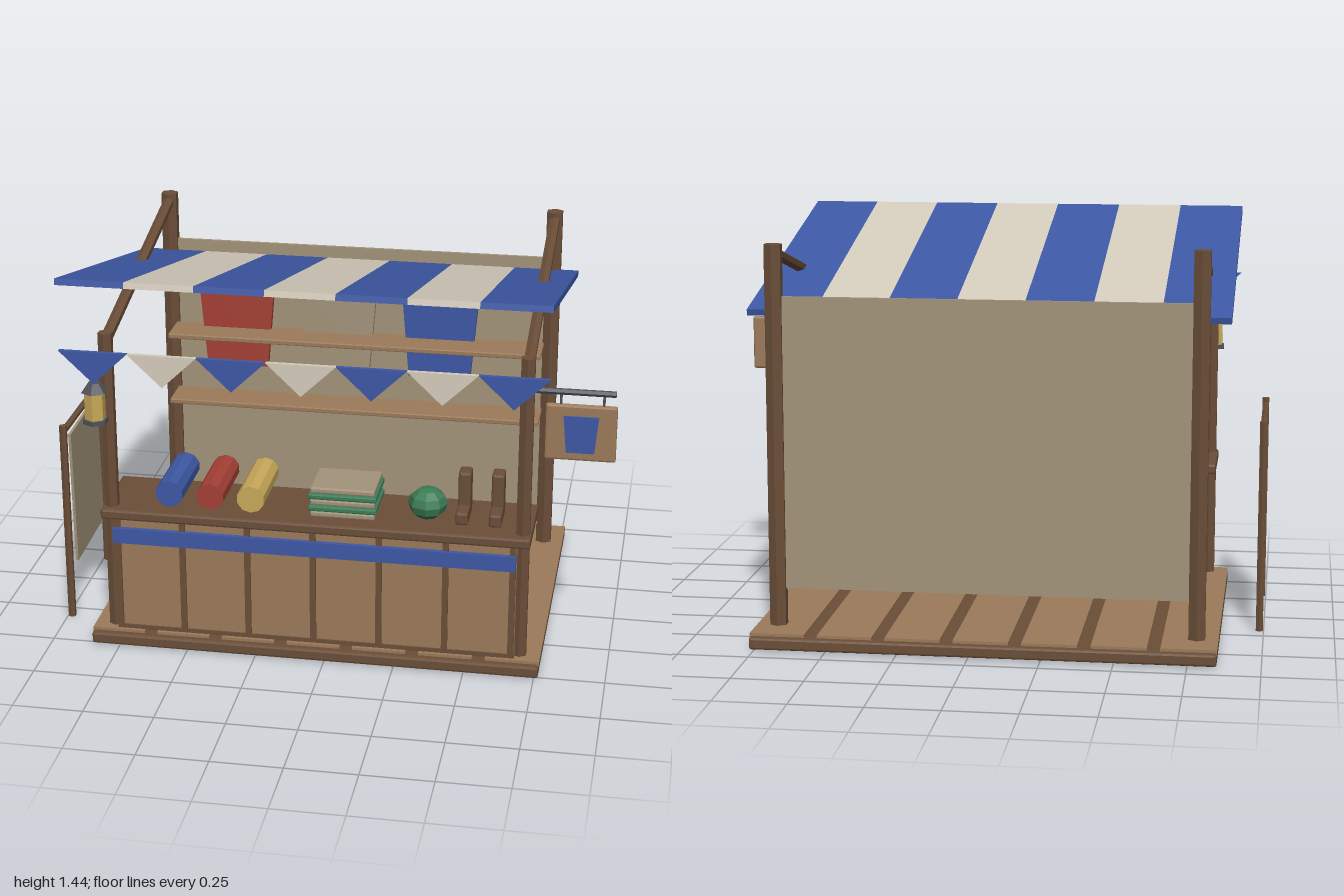
import * as THREE from 'three';
import { RoundedBoxGeometry } from 'three/addons/geometries/RoundedBoxGeometry.js';

const mat = (name, color, double) => {
  const m = new THREE.MeshStandardMaterial({ color, flatShading: true });
  m.name = name;
  if (double) m.side = THREE.DoubleSide;
  return m;
};

export function createModel() {
  const root = new THREE.Group();
  root.name = 'marketStall';
  const M = {
    dark: mat('darkWood', 0x6b4e38),
    light: mat('lightWood', 0x9c7b5a),
    blue: mat('blueCloth', 0x3d58a4),
    cream: mat('creamCloth', 0xd4ccbc),
    linen: mat('linen', 0xa3947b, true),
    red: mat('redCloth', 0xa54036),
    yellow: mat('yellow', 0xc9a959),
    green: mat('green', 0x3c7d56),
    iron: mat('iron', 0x50525a),
  };
  const CX = -0.042; // centre line of the stall itself
  const PITCH = 0.2375; // stripe and plank spacing

  const add = (name, geo, m, x = 0, y = 0, z = 0) => {
    const mesh = new THREE.Mesh(geo, m);
    mesh.name = name;
    mesh.position.set(x, y, z);
    root.add(mesh);
    return mesh;
  };
  // Box given by its min and max on each axis
  const box = (name, m, [x0, x1], [y0, y1], [z0, z1], bevel = 0) => {
    const s = [x1 - x0, y1 - y0, z1 - z0];
    const geo = bevel ? new RoundedBoxGeometry(...s, 1, bevel) : new THREE.BoxGeometry(...s);
    return add(name, geo, m, (x0 + x1) / 2, (y0 + y1) / 2, (z0 + z1) / 2);
  };
  // Faceted rod between two points
  const rod = (name, m, a, b, r, sides = 6) => {
    const A = new THREE.Vector3(...a), B = new THREE.Vector3(...b);
    const d = B.clone().sub(A);
    const mesh = add(name, new THREE.CylinderGeometry(r, r, d.length(), sides), m);
    mesh.position.copy(A).add(B).multiplyScalar(0.5);
    mesh.quaternion.setFromUnitVectors(new THREE.Vector3(0, 1, 0), d.normalize());
    return mesh;
  };
  // Flat outline extruded along z, centred on its depth
  const plate = (name, m, pts, depth, x, y, z) => {
    const shape = new THREE.Shape(pts.map((p) => new THREE.Vector2(...p)));
    const geo = new THREE.ExtrudeGeometry(shape, { depth, bevelEnabled: false });
    geo.translate(0, 0, -depth / 2);
    return add(name, geo, m, x, y, z);
  };

  // Platform and floor planks
  box('platform', M.dark, [-0.85, 0.765], [0.005, 0.048], [-0.68, 0.52], 0.008);
  for (let i = -3; i <= 3; i++) {
    const x = CX + i * PITCH;
    box('floorPlank', M.light, [x - 0.096, x + 0.096], [0.04, 0.058], [-0.655, 0.495]);
  }

  // Posts and sloping side beams
  for (const s of [-1, 1]) {
    const x = CX + s * 0.734;
    rod('frontPost', M.dark, [x, 0.04, 0.44], [x, 1.178, 0.44], 0.027);
    rod('backPost', M.dark, [x, 0.04, -0.52], [x, 1.4, -0.52], 0.033);
    rod('sideBeam', M.dark, [x, 1.147, 0.44], [x, 1.373, -0.52], 0.021);
  }

  // Striped canopy and pennants below its front edge
  for (let i = -3; i <= 3; i++) {
    const m = i % 2 ? M.blue : M.cream;
    const x = CX - 0.003 + i * PITCH;
    const strip = add('canopyStripe', new THREE.BoxGeometry(PITCH, 0.022, 1.225), m, x, 1.298, 0.075);
    strip.rotation.x = -0.2235;
    plate('pennant', m, [[-PITCH / 2, 0], [0, -0.113], [PITCH / 2, 0]], 0.016, x, 1.188, 0.66);
  }

  // Back cloth and shelves
  box('backCloth', M.linen, [-0.776, 0.692], [0.19, 1.22], [-0.526, -0.514]);
  for (const y of [0.615, 0.882]) {
    box('shelf', M.light, [-0.755, 0.67], [y - 0.01, y + 0.01], [-0.49, -0.345], 0.004);
  }

  // Hanging cloths on a rail
  rod('clothRail', M.dark, [-0.77, 1.127, -0.47], [0.69, 1.127, -0.47], 0.012);
  [[-0.508, M.red], [-0.113, M.linen], [0.277, M.blue]].forEach(([x, m]) => {
    plate('hangingCloth', m, [[-0.15, 0], [-0.118, -0.378], [0.118, -0.378], [0.15, 0]], 0.026, x, 1.117, -0.468);
  });

  // Counter with battens and trim
  box('counterBody', M.light, [-0.76, 0.676], [0.056, 0.49], [0.218, 0.475], 0.006);
  box('counterTop', M.dark, [-0.807, 0.722], [0.489, 0.527], [0.183, 0.493], 0.008);
  for (let i = 0; i < 7; i++) {
    const x = -0.75 + i * 0.2355;
    box('batten', M.dark, [x - 0.011, x + 0.011], [0.06, 0.49], [0.47, 0.482]);
  }
  box('footRail', M.dark, [-0.76, 0.676], [0.056, 0.072], [0.47, 0.482]);
  box('counterBand', M.blue, [-0.765, 0.674], [0.4, 0.457], [0.474, 0.493]);

  // Cloth rolls
  [[-0.56, M.blue], [-0.412, M.red], [-0.267, M.yellow]].forEach(([x, m]) => {
    rod('clothRoll', m, [x, 0.593, 0.2], [x, 0.593, 0.465], 0.05, 10);
  });

  // Stack of folded cloth
  for (let i = 0; i < 5; i++) {
    const w = i % 2 ? 0.122 : 0.115;
    box('foldedCloth', i % 2 ? M.green : M.linen, [0.053 - w, 0.053 + w],
      [0.527 + i * 0.0225, 0.549 + i * 0.0225], [0.335 - w * 0.8, 0.335 + w * 0.8], 0.006);
  }

  // Green gourd
  add('gourd', new THREE.SphereGeometry(0.07, 8, 6), M.green, 0.35, 0.592, 0.38).scale.y = 0.82;

  // Pair of boots
  for (const x of [0.473, 0.59]) {
    box('bootLeg', M.dark, [x - 0.022, x + 0.022], [0.53, 0.695], [0.272, 0.34], 0.008);
    box('bootFoot', M.dark, [x - 0.022, x + 0.022], [0.527, 0.575], [0.272, 0.415], 0.008);
  }

  // Lantern on an arm from the left-hand post of the front
  const LX = -0.778, LZ = 0.592;
  rod('lanternArm', M.iron, [LX, 1.103, 0.45], [LX, 1.103, 0.602], 0.01);
  rod('lanternHook', M.iron, [LX, 1.045, LZ], [LX, 1.103, LZ], 0.006);
  add('lanternRoof', new THREE.CylinderGeometry(0.022, 0.047, 0.034, 6), M.iron, LX, 1.034, LZ);
  add('lanternGlass', new THREE.CylinderGeometry(0.037, 0.037, 0.1, 6), M.yellow, LX, 0.968, LZ);
  add('lanternBase', new THREE.CylinderGeometry(0.045, 0.045, 0.016, 6), M.iron, LX, 0.911, LZ);

  // Hanging sign
  rod('signBar', M.iron, [0.7, 1.06, 0.432], [0.99, 1.06, 0.432], 0.011);
  for (const x of [0.805, 0.95]) rod('signHanger', M.iron, [x, 1.01, 0.432], [x, 1.06, 0.432], 0.005);
  box('signBoard', M.light, [0.754, 0.997], [0.813, 1.016], [0.421, 0.443], 0.008);
  plate('signCloth', M.blue, [[-0.06, 0.065], [-0.048, -0.067], [0.048, -0.067], [0.06, 0.065]], 0.009, 0.876, 0.912, 0.446);

  // Side rack with a hung cloth
  const RX = -0.985;
  for (const z of [0.31, -0.18]) rod('rackPost', M.dark, [RX, 0, z], [RX, 0.762, z], 0.0145);
  rod('rackBar', M.dark, [RX, 0.739, 0.31], [RX, 0.739, -0.18], 0.012);
  const cloth = add('rackCloth', new THREE.BoxGeometry(0.01, 0.516, 0.357), M.linen, RX, 0.447, 0.049);
  cloth.rotation.x = 0.04;

  return root;
}
